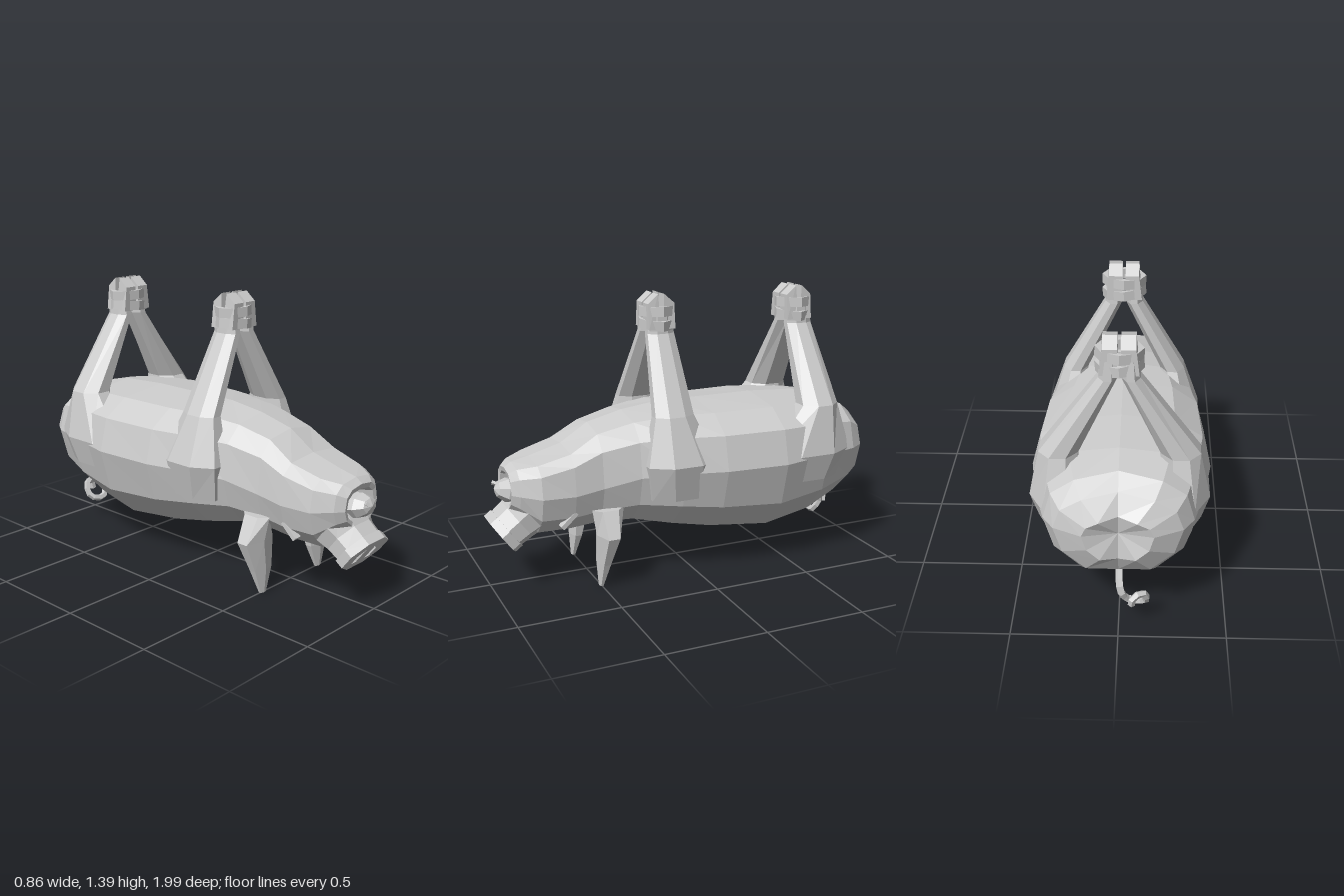
import * as THREE from 'three';

const V = (x, y, z) => new THREE.Vector3(x, y, z);
const grey = new THREE.MeshStandardMaterial({ color: 0xcccccc, flatShading: true, side: THREE.DoubleSide });

function add(parent, name, geometry) {
  const mesh = new THREE.Mesh(geometry, grey);
  mesh.name = name;
  parent.add(mesh);
  return mesh;
}

// Skin closed rings in order; the ends close on centre points.
function loft(rings, startCentre, endCentre) {
  const pos = [], n = rings[0].length;
  const tri = (...p) => p.forEach(v => pos.push(v.x, v.y, v.z));
  const mean = r => r.reduce((s, v) => s.add(v), V(0, 0, 0)).divideScalar(n);
  const first = rings[0], last = rings[rings.length - 1];
  const a = startCentre || mean(first), b = endCentre || mean(last);
  for (let j = 0; j < n; j++) {
    const k = (j + 1) % n;
    tri(a, first[k], first[j]);
    for (let i = 0; i < rings.length - 1; i++) {
      const p = rings[i], q = rings[i + 1];
      tri(p[j], p[k], q[k]);
      tri(p[j], q[k], q[j]);
    }
    tri(b, last[j], last[k]);
  }
  const g = new THREE.BufferGeometry();
  g.setAttribute('position', new THREE.Float32BufferAttribute(pos, 3));
  g.computeVertexNormals();
  return g;
}

// Upright limb from horizontal rings: [x, y, z, half width, half depth]
function limb(side, rows, sides = 8) {
  return loft(rows.map(([x, y, z, rx, rz]) => Array.from({ length: sides }, (_, i) => {
    const t = (i + 0.5) / sides * Math.PI * 2;
    const c = 1 / Math.cos(Math.PI / sides);
    return V(side * x + rx * c * Math.cos(t), y, z - rz * c * Math.sin(t));
  })));
}

// Body sections: [z, top, bottom, half width, height of widest point, top squareness]
const SECTIONS = [
  [-0.995, 0.65, 0.42, 0.16, 0.57, 0.9],
  [-0.935, 0.74, 0.31, 0.29, 0.57, 0.85],
  [-0.86, 0.80, 0.25, 0.34, 0.57, 0.8],
  [-0.68, 0.83, 0.165, 0.39, 0.57, 0.75],
  [-0.42, 0.845, 0.12, 0.43, 0.56, 0.75],
  [-0.1, 0.845, 0.16, 0.41, 0.56, 0.75],
  [0.1, 0.845, 0.2, 0.36, 0.56, 0.75],
  [0.3, 0.82, 0.25, 0.28, 0.54, 0.7],
  [0.48, 0.775, 0.26, 0.24, 0.5, 0.65],
  [0.62, 0.685, 0.25, 0.24, 0.48, 0.55],
  [0.78, 0.64, 0.25, 0.225, 0.48, 0.6],
  [0.87, 0.62, 0.36, 0.165, 0.49, 0.7],
  [0.905, 0.595, 0.39, 0.125, 0.49, 0.75],
  [0.9, 0.57, 0.41, 0.105, 0.49, 0.75], // lip, then inside of the mouth
  [0.8, 0.55, 0.43, 0.08, 0.49, 0.8],
];

function bodyGeometry() {
  const rings = SECTIONS.map(([z, top, bottom, w, mid, e]) => Array.from({ length: 12 }, (_, i) => {
    const t = i / 12 * Math.PI * 2;
    const c = Math.cos(t), s = Math.sin(t), p = s > 0.01 ? e : 1;
    const x = Math.sign(c) * Math.abs(c) ** p * w;
    const y = mid + Math.sign(s) * Math.abs(s) ** p * (s > 0 ? top - mid : mid - bottom);
    const cleft = z < -0.8 && Math.abs(c) < 0.01 ? 0.04 : 0; // groove between the buttocks
    return V(x, y, z + cleft);
  }));
  return loft(rings, V(0, 0.55, -0.94), V(0, 0.49, 0.8));
}

// Snout: tapered muzzle with a nostrilled disc on the end
function addSnout(parent) {
  const snout = new THREE.Group();
  snout.name = 'snout';
  const outline = (rx, ry) => Array.from({ length: 8 }, (_, i) => {
    const t = (i + 0.5) / 8 * Math.PI * 2;
    return new THREE.Vector2(rx * 1.08 * Math.cos(t), ry * 1.08 * Math.sin(t));
  });
  const ring = (rx, ry, z, y = 0) => outline(rx, ry).map(p => V(p.x, p.y + y, z));
  add(snout, 'muzzle', loft([ring(0.2, 0.13, -0.26, 0.02), ring(0.14, 0.1, -0.11), ring(0.135, 0.095, -0.04)]));
  const disc = new THREE.Shape(outline(0.15, 0.1));
  for (const s of [-1, 1]) {
    disc.holes.push(new THREE.Path([[0.035, -0.05], [0.035, 0.045], [0.075, 0.01], [0.07, -0.05]]
      .map(([x, y]) => new THREE.Vector2(s * x, y))));
  }
  const face = add(snout, 'snoutDisc', new THREE.ExtrudeGeometry(disc, { depth: 0.045, bevelEnabled: false }));
  face.position.z = -0.045;
  snout.position.set(0, 0.26, 0.94);
  snout.rotation.x = 0.64;
  parent.add(snout);
}

// Two pointed toes and two binding straps where a pair of legs meets
function addTiedFeet(parent, name, z) {
  const feet = new THREE.Group();
  feet.name = name;
  for (const sx of [-1, 1]) for (const sz of [-1, 1]) {
    const g = new THREE.BoxGeometry(0.08, 0.17, 0.065);
    const p = g.attributes.position;
    for (let i = 0; i < p.count; i++) {
      if (p.getY(i) < 0) continue;
      const outerX = p.getX(i) * sx > 0, outerZ = p.getZ(i) * sz > 0;
      if (outerX) p.setX(i, p.getX(i) - sx * 0.015);
      if (outerZ) p.setY(i, p.getY(i) - 0.045);
      else p.setZ(i, p.getZ(i) + sz * 0.012);
    }
    g.computeVertexNormals();
    add(feet, 'toe', g).position.set(sx * 0.048, 1.307, sz * 0.037);
  }
  const band = [[0.08, -0.024], [0.108, -0.024], [0.108, 0.024], [0.08, 0.024], [0.08, -0.024]]
    .map(([x, y]) => new THREE.Vector2(x, y));
  for (const [y, tilt] of [[1.245, -0.08], [1.305, 0.04]]) {
    const strap = add(feet, 'strap', new THREE.LatheGeometry(band, 8));
    strap.position.y = y;
    strap.scale.z = 0.8;
    strap.rotation.z = tilt;
  }
  feet.position.z = z;
  parent.add(feet);
}

export function createModel() {
  const pig = new THREE.Group();
  pig.name = 'trussedPig';
  add(pig, 'body', bodyGeometry());
  addSnout(pig);

  for (const s of [1, -1]) {
    add(pig, 'foreLeg', limb(s, [
      [0.25, 0.42, 0.08, 0.09, 0.17], [0.275, 0.6, 0.1, 0.11, 0.18],
      [0.245, 0.83, 0.125, 0.06, 0.1], [0.05, 1.2, 0.11, 0.042, 0.07], [0.045, 1.29, 0.11, 0.04, 0.06],
    ]));
    add(pig, 'hindLeg', limb(s, [
      [0.28, 0.44, -0.58, 0.1, 0.2], [0.29, 0.58, -0.6, 0.125, 0.23],
      [0.275, 0.82, -0.665, 0.09, 0.1], [0.05, 1.2, -0.67, 0.042, 0.07], [0.045, 1.29, -0.67, 0.04, 0.06],
    ]));
    add(pig, 'ear', limb(s, [
      [0.217, 0, 0.5, 0.02, 0.01], [0.215, 0.12, 0.485, 0.06, 0.03],
      [0.235, 0.27, 0.465, 0.095, 0.05], [0.215, 0.39, 0.455, 0.04, 0.07],
    ], 6));
    const eye = add(pig, 'eye', new THREE.BoxGeometry(0.04, 0.022, 0.1));
    eye.position.set(s * 0.195, 0.355, 0.65);
    eye.rotation.x = 0.75;
  }
  addTiedFeet(pig, 'foreFeet', 0.11);
  addTiedFeet(pig, 'hindFeet', -0.66);

  // Apple held in the mouth
  const apple = add(pig, 'apple', new THREE.SphereGeometry(0.088, 7, 5));
  apple.position.set(0.01, 0.48, 0.875);
  apple.scale.z = 0.7;
  apple.rotation.x = Math.PI / 2 - 0.2;
  const stem = add(pig, 'stem', new THREE.CylinderGeometry(0.012, 0.006, 0.06, 4));
  stem.position.set(-0.015, 0.51, 0.935);
  stem.rotation.set(1.3, 0, 0.5);

  // Curly tail
  const curl = new THREE.CatmullRomCurve3([
    V(0, 0.27, -0.81), V(-0.01, 0.18, -0.89), V(-0.04, 0.11, -0.865), V(-0.1, 0.105, -0.87),
    V(-0.13, 0.14, -0.9), V(-0.11, 0.195, -0.925), V(-0.07, 0.185, -0.945), V(-0.06, 0.14, -0.94),
  ]);
  add(pig, 'tail', new THREE.TubeGeometry(curl, 14, 0.018, 5));
  return pig;
}
